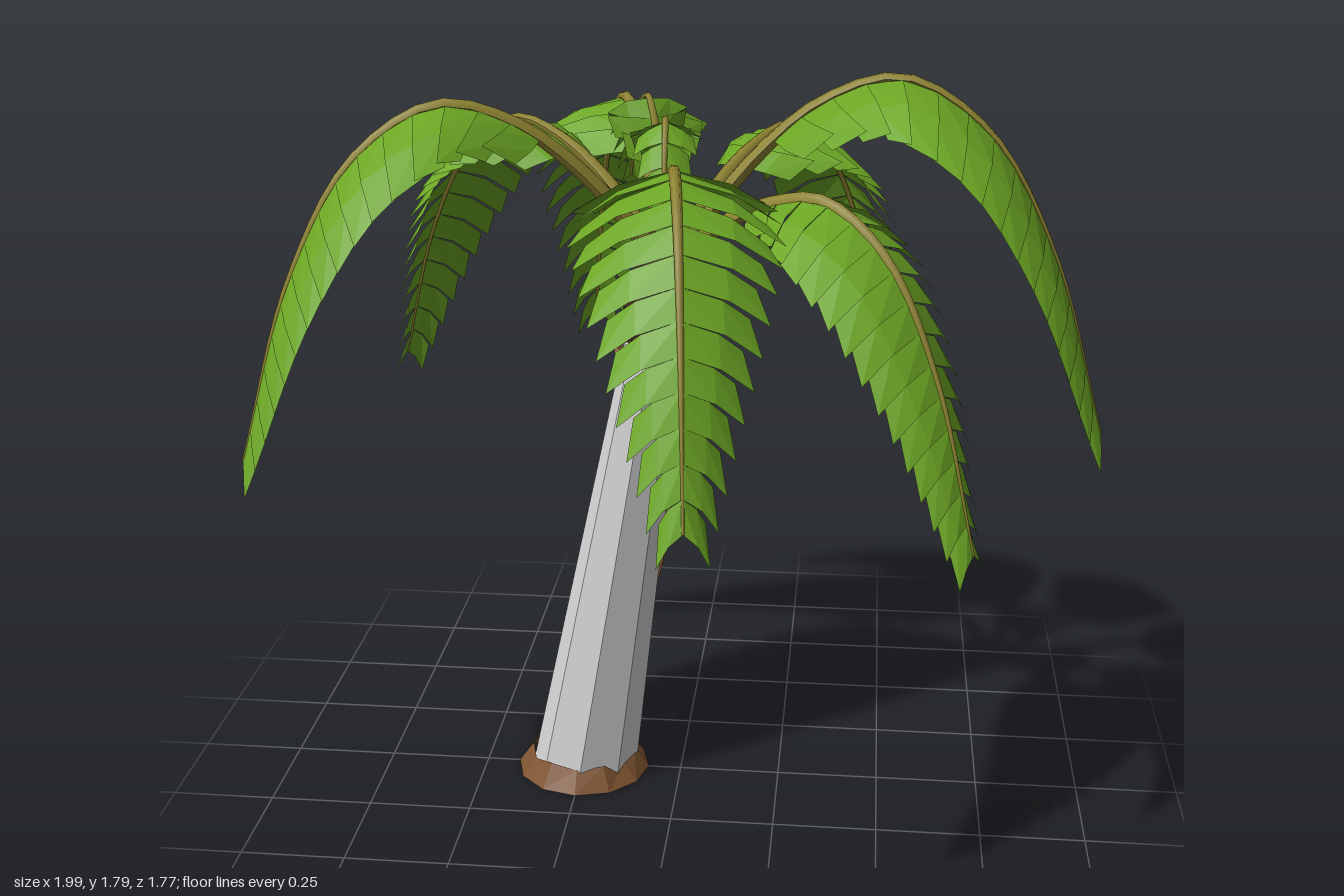
import * as THREE from 'three';

const V = (x, y, z) => new THREE.Vector3(x, y, z);
const mat = (name, color, extra = {}) => {
  const m = new THREE.MeshStandardMaterial({ color, ...extra });
  m.name = name;
  return m;
};

// Tube whose radius follows a function of the length
function taperedTube(curve, segments, sides, radiusAt) {
  const g = new THREE.TubeGeometry(curve, segments, 1, sides, false);
  const p = g.attributes.position, v = V(0, 0, 0);
  for (let i = 0; i <= segments; i++) {
    const c = curve.getPointAt(i / segments), r = radiusAt(i / segments);
    for (let j = 0; j <= sides; j++) {
      const k = i * (sides + 1) + j;
      v.fromBufferAttribute(p, k).sub(c).multiplyScalar(r).add(c);
      p.setXYZ(k, v.x, v.y, v.z);
    }
  }
  g.computeVertexNormals();
  return g;
}

// Half width along the blade, as a fraction of the widest point
const WIDTHS = [0.55, 0.85, 1, 1, 0.93, 0.82, 0.7, 0.57, 0.44, 0.32, 0.2];
function widthAt(u) {
  const f = Math.min(u, 0.9999) * (WIDTHS.length - 1), i = Math.floor(f);
  return THREE.MathUtils.lerp(WIDTHS[i], WIDTHS[i + 1], f - i);
}

// Arched midrib from the crown over a peak to a hanging tip
const ORIGIN = V(-0.03, 1.34, 0.01);
function ribCurve(tip, peak) {
  const rise = peak - ORIGIN.y, drop = peak - tip.y;
  const at = (f, y) => V(THREE.MathUtils.lerp(ORIGIN.x, tip.x, f), y, THREE.MathUtils.lerp(ORIGIN.z, tip.z, f));
  return new THREE.CatmullRomCurve3([
    at(0.01, ORIGIN.y), at(0.2, ORIGIN.y + rise * 0.58), at(0.35, ORIGIN.y + rise * 0.88),
    at(0.52, peak), at(0.71, peak - drop * 0.14), at(0.87, peak - drop * 0.48), at(1, tip.y),
  ]);
}

// Serrated blade: swept, slightly overlapping leaflets on both sides of the rib
function bladeGeometry(curve, dir, halfWidth, count, start) {
  const pos = [];
  const length = curve.getLength();
  const sweep = halfWidth * 0.22 / length;
  const side = V(-dir.z, 0, dir.x);
  const point = (s, out, drop) => {
    const e = Math.min(s, 1), t = curve.getTangentAt(e);
    const n = side.clone().cross(t);
    return curve.getPointAt(e).addScaledVector(t, (s - e) * length)
      .addScaledVector(side, out).addScaledVector(n, -drop);
  };
  for (const sign of [1, -1]) {
    const tri = (a, b, c) => (sign > 0 ? [a, b, c] : [a, c, b]).forEach(v => pos.push(v.x, v.y, v.z));
    const quad = (a, b, c, d) => { tri(a, b, c); tri(a, c, d); };
    for (let i = 0; i < count; i++) {
      const s0 = start + (1 - start) * i / count, s1 = start + (1 - start) * (i + 1) / count;
      const w = halfWidth * widthAt((i + 0.5) / count);
      const a = point(s0, 0, 0), b = point(s1, 0, 0);
      const m0 = point(s0 + sweep * 0.4, sign * w * 0.52, w * 0.14 + 0.008);
      const m1 = point(s1 + sweep * 0.5, sign * w * 0.54, w * 0.12);
      const o0 = point(s0 + sweep, sign * w * 0.86, w * 0.36 + 0.012);
      const o1 = point(s1 + sweep * 1.4, sign * w, w * 0.36);
      quad(a, m0, m1, b);
      quad(m0, o0, o1, m1);
    }
  }
  const g = new THREE.BufferGeometry();
  g.setAttribute('position', new THREE.Float32BufferAttribute(pos, 3));
  g.computeVertexNormals();
  return g;
}

export function createModel() {
  const model = new THREE.Group();
  model.name = 'palmTree';
  const leaf = mat('leafGreen', 0x6ca624, { side: THREE.DoubleSide, flatShading: true });
  const rib = mat('ribOlive', 0x8f8432);
  const bark = mat('barkBrown', 0xab7b4c, { side: THREE.DoubleSide });
  const core = mat('paleGrey', 0xd2d2d2, { flatShading: true });
  const husk = mat('huskBrown', 0x432c22, { flatShading: true });
  const soil = mat('soilBrown', 0x7d5330, { side: THREE.DoubleSide, flatShading: true });
  const add = (parent, name, geometry, material) => {
    const m = new THREE.Mesh(geometry, material);
    m.name = name;
    parent.add(m);
    return m;
  };

  // Leaning eight-sided column
  const column = new THREE.CylinderGeometry(0.072, 0.133, 1.14, 8).translate(0, 0.57, 0);
  const cp = column.attributes.position;
  for (let i = 0; i < cp.count; i++) {
    const t = cp.getY(i) / 1.14;
    cp.setX(i, cp.getX(i) - 0.248 + 0.186 * t);
    cp.setZ(i, cp.getZ(i) + 0.01 * t);
  }
  column.computeVertexNormals();
  add(model, 'trunkCore', column, core);

  // Curved bark trunk with swollen segments, showing at the back and left
  const trunkPath = new THREE.CatmullRomCurve3([
    V(-0.222, 0.12, -0.04), V(-0.195, 0.27, -0.044), V(-0.125, 0.6, -0.058),
    V(-0.095, 0.85, -0.052), V(-0.078, 1.13, -0.024),
  ]);
  const trunk = taperedTube(trunkPath, 42, 14, t => {
    const f = (t * 5.5) % 1;
    return 0.078 + 0.009 * Math.sin(Math.PI * f) - 0.004 * t;
  });
  add(model, 'barkTrunk', trunk, bark);

  // Ragged soil ring round the foot
  const ring = new THREE.CylinderGeometry(0.13, 0.168, 0.05, 12, 1, true).translate(0, 0.025, 0);
  const rp = ring.attributes.position;
  for (let i = 0; i < rp.count; i++) {
    if (rp.getY(i) > 0.02) rp.setY(i, 0.05 + 0.008 * Math.sin((i % 12) * 2.4));
  }
  ring.translate(-0.25, 0, -0.002);
  add(model, 'soilRing', ring, soil);

  // Dark husk under the fronds
  const profile = [[0, 1.08], [0.058, 1.09], [0.084, 1.19], [0.08, 1.29], [0.055, 1.39], [0, 1.44]];
  const huskGeo = new THREE.LatheGeometry(profile.map(([r, y]) => new THREE.Vector2(r, y)), 8);
  const hp = huskGeo.attributes.position;
  for (let i = 0; i < hp.count; i++) hp.setX(i, hp.getX(i) - 0.066 + (hp.getY(i) - 1.08) * 0.1);
  huskGeo.translate(0, 0, -0.01);
  add(model, 'crownHusk', huskGeo, husk);

  // Fronds: tip, peak height, half width, leaflets, blade start
  const fronds = [
    [V(0.985, 0.97, 0.06), 1.78, 0.24, 16, 0.22],
    [V(0.68, 0.84, 0.5), 1.55, 0.21, 15, 0.22],
    [V(0.09, 1.02, 0.87), 1.645, 0.225, 15, 0.22],
    [V(-0.985, 0.92, 0.3), 1.725, 0.23, 16, 0.25],
    [V(-0.785, 0.94, -0.5), 1.62, 0.21, 15, 0.25],
    [V(-0.325, 0.96, -0.865), 1.645, 0.225, 15, 0.22],
    [V(0.48, 0.93, -0.655), 1.6, 0.21, 15, 0.22],
    [V(-0.01, 1.45, 0.27), 1.7, 0.08, 8, 0.35],
    [V(-0.14, 1.5, -0.2), 1.71, 0.1, 8, 0.35],
  ];
  for (const [tip, peak, halfWidth, count, start] of fronds) {
    const frond = new THREE.Group();
    frond.name = count > 10 ? 'frond' : 'youngFrond';
    const curve = ribCurve(tip, peak);
    const dir = V(tip.x - ORIGIN.x, 0, tip.z - ORIGIN.z).normalize();
    const thick = count > 10 ? 0.02 : 0.014;
    add(frond, 'midrib', taperedTube(curve, 28, 6, t => thick * (1 - t) ** 1.3 + 0.003), rib);
    add(frond, 'blade', bladeGeometry(curve, dir, halfWidth, count, start), leaf);
    model.add(frond);
  }
  return model;
}
